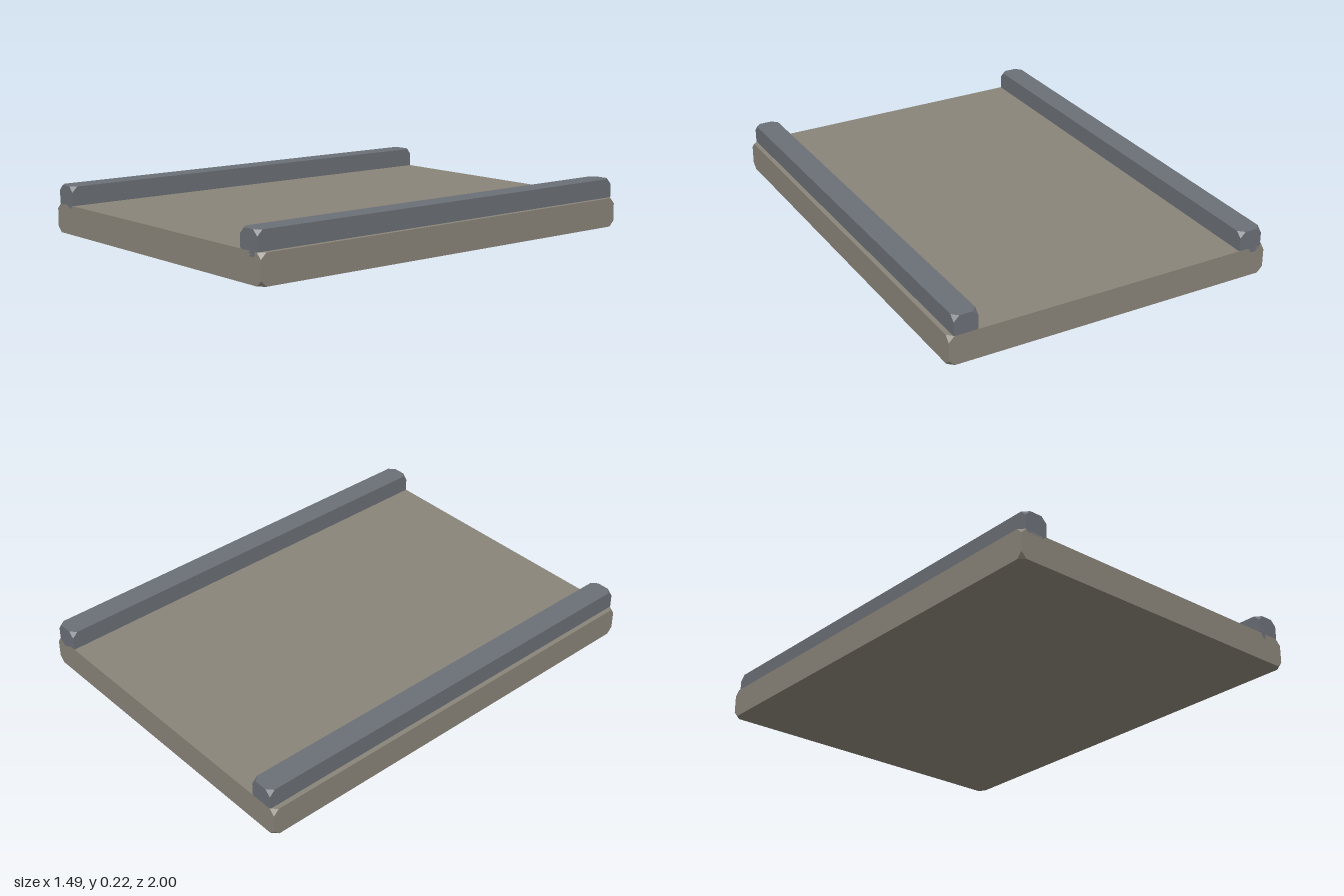
import * as THREE from 'three';
import { ConvexGeometry } from 'three/addons/geometries/ConvexGeometry.js';

// Box whose eight corners are cut off while its long edges stay sharp
function cornerCutBox(w, h, d, cut) {
  const points = [];
  for (const sx of [-1, 1]) for (const sy of [-1, 1]) for (const sz of [-1, 1]) {
    const x = sx * w / 2, y = sy * h / 2, z = sz * d / 2;
    points.push(
      new THREE.Vector3(x - sx * cut, y, z),
      new THREE.Vector3(x, y - sy * cut, z),
      new THREE.Vector3(x, y, z - sz * cut)
    );
  }
  return new ConvexGeometry(points);
}

export function createModel() {
  const group = new THREE.Group();
  const stone = new THREE.MeshStandardMaterial({ color: 0x8a8479, flatShading: true });
  const steel = new THREE.MeshStandardMaterial({ color: 0x6b7077, flatShading: true });

  const add = (name, geometry, material, x, y) => {
    const mesh = new THREE.Mesh(geometry, material);
    mesh.name = name;
    mesh.position.set(x, y, 0);
    group.add(mesh);
  };

  // Flat deck slab
  const deckHeight = 0.13;
  add('deck', cornerCutBox(1.494, deckHeight, 2, 0.025), stone, 0, deckHeight / 2);

  // Side rails, sunk slightly into the deck
  const railSize = 0.107, railTop = 0.215;
  const railGeometry = cornerCutBox(railSize, railSize, 2, 0.025);
  for (const [name, side] of [['leftRail', 1], ['rightRail', -1]]) {
    add(name, railGeometry, steel, side * 0.672, railTop - railSize / 2);
  }

  return group;
}
